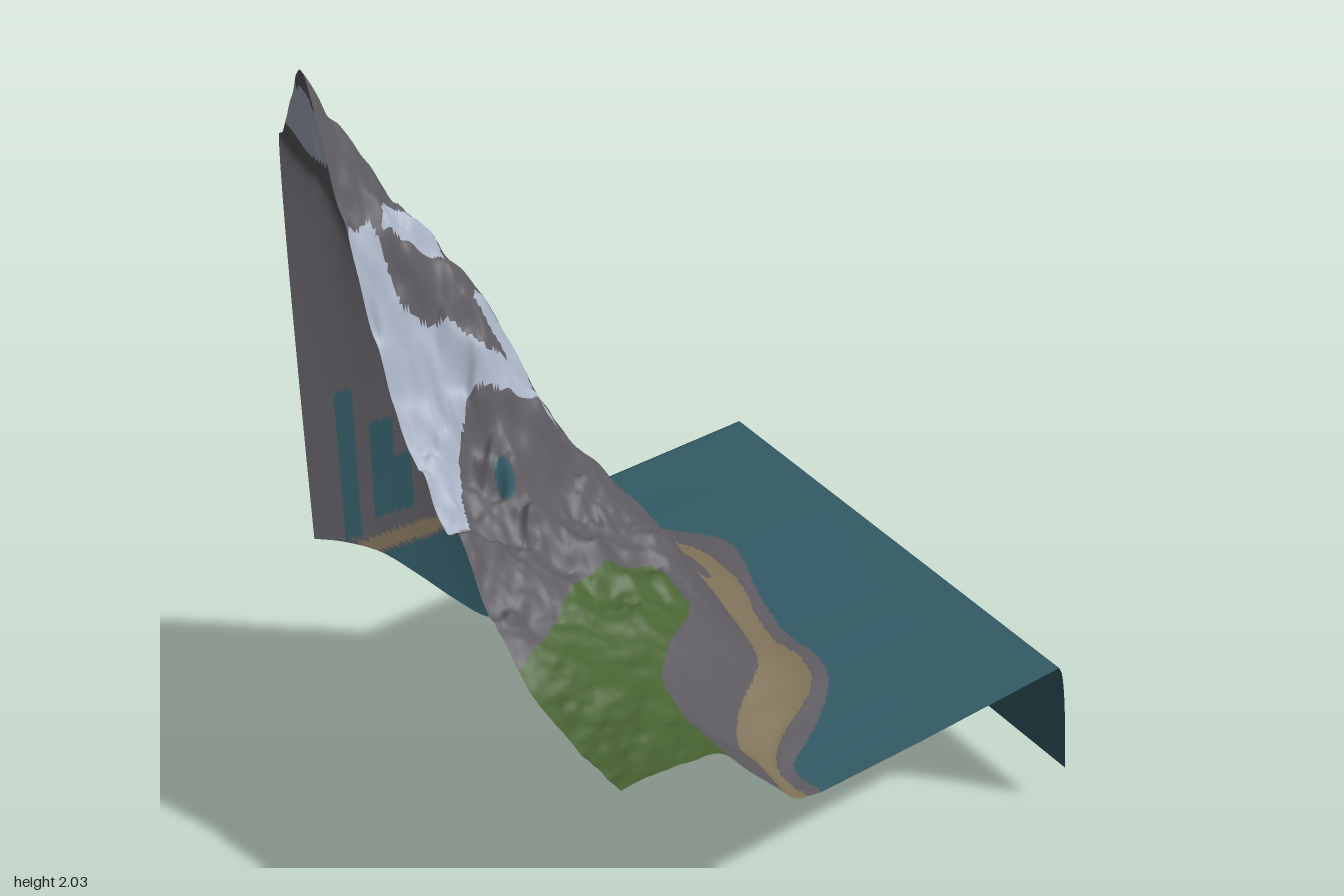
import * as THREE from 'three';
import { mergeVertices } from 'three/addons/utils/BufferGeometryUtils.js';

const EDGE = 0.685;   // half width of the tile
const RIM = 0.62;     // where the tile starts to bend down into its skirts

// smooth curve through values at increasing keys
function curve(keys, vals, t) {
  const n = keys.length - 1;
  t = Math.min(Math.max(t, keys[0]), keys[n]);
  let i = 0;
  while (i < n - 1 && t > keys[i + 1]) i++;
  const slope = (k) => {
    const a = Math.max(k - 1, 0), b = Math.min(k + 1, n);
    return (vals[b] - vals[a]) / (keys[b] - keys[a]);
  };
  const d = keys[i + 1] - keys[i], f = (t - keys[i]) / d, f2 = f * f, f3 = f2 * f;
  return (2 * f3 - 3 * f2 + 1) * vals[i] + (f3 - 2 * f2 + f) * d * slope(i)
    + (3 * f2 - 2 * f3) * vals[i + 1] + (f3 - f2) * d * slope(i + 1);
}

// coast lines: x of the cliff foot, beach edge and shallows edge along z
const COAST_Z = [-0.685, -0.6, -0.5, -0.4, -0.3, -0.2, -0.1, 0, 0.1, 0.2, 0.3, 0.4, 0.5, 0.58, 0.685];
const FOOT = [-0.23, -0.21, -0.16, -0.03, 0.02, 0.06, 0.07, 0.06, 0.04, 0.02, -0.02, -0.15, -0.23, -0.23, -0.24];
const BEACH = [-0.22, -0.195, -0.14, 0.02, 0.11, 0.17, 0.18, 0.17, 0.13, 0.11, 0.12, 0.07, -0.1, -0.17, -0.17];
const SHALLOW = [-0.2, -0.18, -0.11, 0.08, 0.18, 0.255, 0.24, 0.2, 0.17, 0.15, 0.16, 0.12, 0, -0.13, -0.13];

// mountain cross-sections from the left edge to the cliff foot, one per z
const SLICE_U = [0, 0.2, 0.4, 0.6, 0.8, 1];
const SLICE_Z = [-0.6, -0.48, -0.36, -0.25, -0.1, 0.05, 0.2, 0.35, 0.5, 0.685];
const SLICES = [
  [1.83, 1.68, 1.38, 1.13, 0.82, 0.56],
  [1.99, 1.77, 1.45, 1.15, 0.85, 0.56],
  [1.75, 1.67, 1.48, 1.10, 0.80, 0.56],
  [1.46, 1.44, 1.42, 1.10, 0.85, 0.56],
  [1.22, 1.14, 1.10, 0.96, 0.83, 0.56],
  [1.09, 1.00, 0.95, 0.88, 0.78, 0.56],
  [0.94, 0.88, 0.85, 0.81, 0.71, 0.56],
  [0.85, 0.84, 0.81, 0.77, 0.68, 0.56],
  [0.81, 0.81, 0.80, 0.77, 0.66, 0.56],
  [0.82, 0.82, 0.81, 0.78, 0.67, 0.56],
];

// lower edge of the back skirt along x
const HEM_X = [-0.685, -0.6, -0.5, -0.4, -0.3, -0.2, -0.15, 0.685];
const HEM_Y = [0.63, 0.58, 0.5, 0.38, 0.25, 0.135, 0.122, 0.122];

// smooth value noise
function hash(i, j) {
  const s = Math.sin(i * 127.1 + j * 311.7) * 43758.5453;
  return (s - Math.floor(s)) * 2 - 1;
}
function noise(x, z) {
  const i = Math.floor(x), j = Math.floor(z), a = x - i, b = z - j;
  const u = a * a * (3 - 2 * a), v = b * b * (3 - 2 * b);
  return (hash(i, j) * (1 - u) + hash(i + 1, j) * u) * (1 - v)
    + (hash(i, j + 1) * (1 - u) + hash(i + 1, j + 1) * u) * v;
}

// patches seen from above, as outlines of [x, z]
const GRASS = [[[-0.7, 0.3], [-0.6, 0.25], [-0.52, 0.2], [-0.42, 0.13], [-0.3, 0.1], [-0.18, 0.09], [-0.15, 0.2],
  [-0.19, 0.24], [-0.3, 0.32], [-0.38, 0.4], [-0.4, 0.5], [-0.39, 0.7], [-0.7, 0.7]]];
const SNOW = [
  [[-0.7, -0.33], [-0.62, -0.35], [-0.6, -0.27], [-0.5, -0.25], [-0.43, -0.2], [-0.36, -0.21], [-0.25, -0.19],
    [-0.25, -0.165], [-0.42, -0.165], [-0.5, -0.18], [-0.56, -0.13], [-0.6, -0.06], [-0.63, 0.03], [-0.7, 0.04]],
  [[-0.6, -0.33], [-0.56, -0.39], [-0.46, -0.37], [-0.44, -0.33], [-0.52, -0.32]],
  [[-0.42, -0.26], [-0.4, -0.29], [-0.32, -0.28], [-0.3, -0.2], [-0.36, -0.2]],
  [[-0.44, -0.57], [-0.42, -0.59], [-0.37, -0.58], [-0.36, -0.46], [-0.4, -0.45], [-0.44, -0.52]],
  [[-0.7, -0.585], [-0.6, -0.58], [-0.6, -0.54], [-0.66, -0.51], [-0.7, -0.52]],
];
function inside(outlines, x, z) {
  return outlines.some((p) => {
    let hit = false;
    for (let i = 0, j = p.length - 1; i < p.length; j = i++) {
      if ((p[i][1] > z) !== (p[j][1] > z)
        && x < (p[j][0] - p[i][0]) * (z - p[i][1]) / (p[j][1] - p[i][1]) + p[i][0]) hit = !hit;
    }
    return hit;
  });
}
const oval = (x, z, cx, cz, rx, rz) => ((x - cx) / rx) ** 2 + ((z - cz) / rz) ** 2 < 1;
const bend = (v) => Math.max(0, (v - RIM) / (EDGE - RIM)) ** 1.6;

// height of the land or water, before the skirts
function ground(x, z) {
  const foot = curve(COAST_Z, FOOT, z), beach = curve(COAST_Z, BEACH, z), shallow = curve(COAST_Z, SHALLOW, z);
  if (x < foot) {
    const u = (x + EDGE) / (foot + EDGE);
    const h = curve(SLICE_Z, SLICES.map((s) => curve(SLICE_U, s, u)), z);
    const rough = Math.min(0.045, Math.max(0, h - 0.56) * 0.09) * (z > 0.2 ? 0.4 : 1);
    return h + rough * (noise(x * 9 + 3, z * 13) + 0.5 * noise(x * 22, z * 30) + 0.2 * noise(x * 50, z * 50));
  }
  if (x < beach) return 0.508 + 0.052 * (1 - (x - foot) / (beach - foot)) ** 2;
  if (x < shallow) return 0.508 - 0.011 * (x - beach) / (shallow - beach);
  return 0.49 + 0.007 * Math.max(0, 1 - (x - shallow) / 0.3);
}

// final height, with the right and back sides bent down
function height(x, z) {
  const right = bend(x), back = bend(-z);
  const h = ground(x, z) - 0.37 * right;
  return h + (curve(HEM_X, HEM_Y, x) - h) * back - 0.12 * right * back;
}

function kind(x, y, z) {
  if (z < -0.63) { // streaks on the back face
    if (x > -0.6 && x < -0.55 && y > 0.58 && y < 1.05) return 'water';
    if (x > -0.51 && x < -0.4 && y > 0.62 && y < (x < -0.45 ? 0.93 : 0.8)) return 'water';
  }
  if (oval(x, z, -0.48, -0.07, 0.02, 0.03) || oval(x, z, -0.2, -0.47, 0.025, 0.025)) return 'water';
  if (oval(x, z, 0.1, -0.14, 0.028, 0.08)) return 'rock';
  if (y < 0.497) return 'water';
  if (y < 0.508) return 'shallows';
  if (y < 0.56) return 'beach';
  if (inside(GRASS, x, z)) return 'grass';
  if (z > -0.64 && inside(SNOW, x, z)) return 'snow';
  return 'rock';
}

// grid lines, packed closer where the surface bends down
function lines(main, skirt) {
  const out = [];
  for (let i = 0; i <= main; i++) out.push(-EDGE + (RIM + EDGE) * i / main);
  for (let i = 1; i <= skirt; i++) out.push(RIM + (EDGE - RIM) * (i / skirt) ** (1 / 1.6));
  return out;
}

export function createModel() {
  const colour = (name, hex) => {
    const m = new THREE.MeshStandardMaterial({ color: hex, side: THREE.DoubleSide });
    m.name = name;
    return m;
  };
  const rockGrey = colour('rock grey', 0x5d5b60);
  const materials = {
    water: colour('deep teal', 0x335b66), shallows: rockGrey, rock: rockGrey,
    beach: colour('sand', 0x7f7259), grass: colour('grass green', 0x486332), snow: colour('snow', 0xaab4c5),
  };

  // whole surface as one grid, for shared smooth normals
  const xs = lines(180, 16), zs = lines(180, 48).map((v) => -v).reverse();
  const pos = [], all = [], parts = {};
  for (const z of zs) for (const x of xs) pos.push(x, height(x, z), z);
  const mid = (tri, k) => tri.reduce((s, v) => s + pos[v * 3 + k], 0) / 3;
  for (let j = 0; j < zs.length - 1; j++) {
    for (let i = 0; i < xs.length - 1; i++) {
      const a = j * xs.length + i, b = a + 1, c = a + xs.length, d = c + 1;
      for (const tri of [[a, c, b], [b, c, d]]) {
        all.push(...tri);
        (parts[kind(mid(tri, 0), mid(tri, 1), mid(tri, 2))] ??= []).push(...tri);
      }
    }
  }
  const surface = new THREE.BufferGeometry();
  surface.setAttribute('position', new THREE.Float32BufferAttribute(pos, 3));
  surface.setIndex(all);
  surface.computeVertexNormals();

  // one mesh for each kind of ground
  const group = new THREE.Group();
  group.name = 'coastal mountain tile';
  for (const [name, index] of Object.entries(parts)) {
    surface.setIndex(index);
    const mesh = new THREE.Mesh(mergeVertices(surface.toNonIndexed(), 1e-5), materials[name]);
    mesh.name = name;
    group.add(mesh);
  }
  return group;
}
